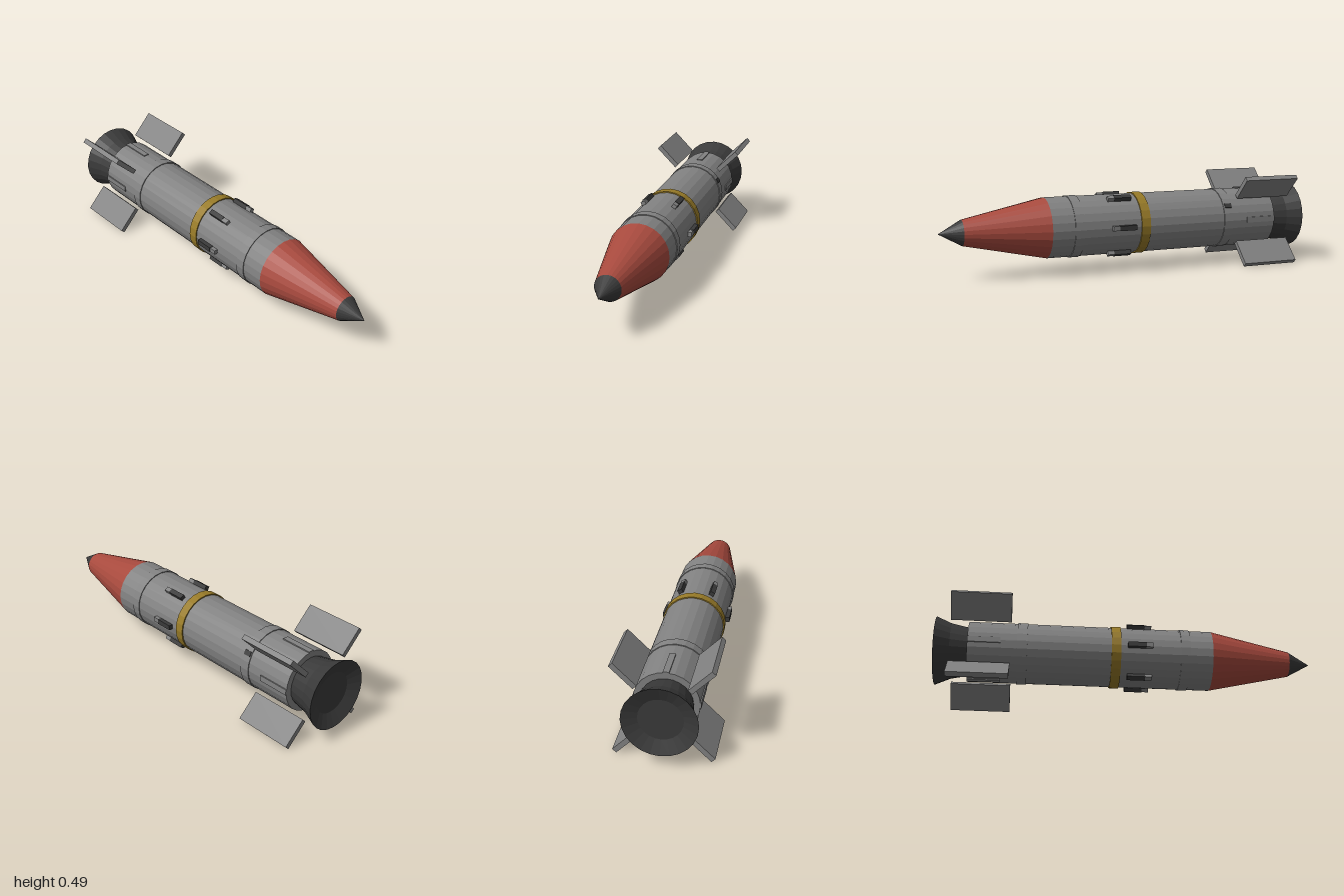
import * as THREE from 'three';

const AXIS_Y = 0.244;
const SIDES = 24;

function paint(name, color) {
  const m = new THREE.MeshStandardMaterial({ color, flatShading: true });
  m.name = name;
  return m;
}

export function createModel() {
  const grey = paint('grey metal', 0x828282);
  const dark = paint('dark metal', 0x3a3a3a);
  const red = paint('red paint', 0xa84a3e);
  const yellow = paint('yellow paint', 0x987b28);

  const model = new THREE.Group();
  model.name = 'missile';
  const core = new THREE.Group();
  core.name = 'airframe';
  core.position.y = AXIS_Y;
  model.add(core);

  // Turned part along z; profile points are [radius, z] from back to front
  function turned(name, material, profile) {
    const geo = new THREE.LatheGeometry(profile.map(([r, z]) => new THREE.Vector2(r, z)), SIDES);
    geo.rotateX(Math.PI / 2);
    const mesh = new THREE.Mesh(geo, material);
    mesh.name = name;
    core.add(mesh);
  }

  // Box standing radially on the hull at a given angle
  function radialBox(name, material, angle, r0, r1, width, z0, z1) {
    const geo = new THREE.BoxGeometry(r1 - r0, width, z1 - z0);
    geo.translate((r0 + r1) / 2, 0, (z0 + z1) / 2);
    geo.rotateZ(angle);
    const mesh = new THREE.Mesh(geo, material);
    mesh.name = name;
    core.add(mesh);
  }

  // Hull and nose
  turned('body', grey, [[0, -0.83], [0.159, -0.83], [0.159, 0.45]]);
  turned('noseCone', red, [[0.159, 0.45], [0.067, 0.88]]);
  turned('noseTip', dark, [[0.067, 0.88], [0, 1]]);

  // Flared nozzle with a shallow recessed end plate
  turned('nozzle', dark, [[0, -0.972], [0.107, -0.972], [0.18, -1], [0.146, -0.92], [0.128, -0.83]]);

  // Raised bands around the hull
  const band = (name, material, z0, z1, r) =>
    turned(name, material, [[0.155, z0], [r, z0], [r, z1], [0.155, z1]]);
  band('frontBand', grey, 0.28, 0.33, 0.163);
  band('yellowBand', yellow, -0.085, -0.035, 0.165);
  band('rearBand', grey, -0.575, -0.522, 0.163);

  // Six lugs around the middle, each with a lighter front block
  for (let i = 0; i < 6; i++) {
    const a = i * Math.PI / 3;
    radialBox('lug', dark, a, 0.15, 0.18, 0.026, 0, 0.095);
    radialBox('lugFront', grey, a, 0.15, 0.178, 0.024, 0.095, 0.13);
  }

  // Four diagonal tail fins and low ribs between them
  for (let i = 0; i < 4; i++) {
    radialBox('tailFin', grey, Math.PI / 4 + i * Math.PI / 2, 0.178, 0.331, 0.026, -0.922, -0.608);
    radialBox('tailRib', grey, i * Math.PI / 2, 0.15, 0.163, 0.03, -0.83, -0.66);
  }

  // Small connector beside the rear band
  radialBox('connector', dark, Math.PI / 6, 0.15, 0.166, 0.025, -0.57, -0.53);

  return model;
}
